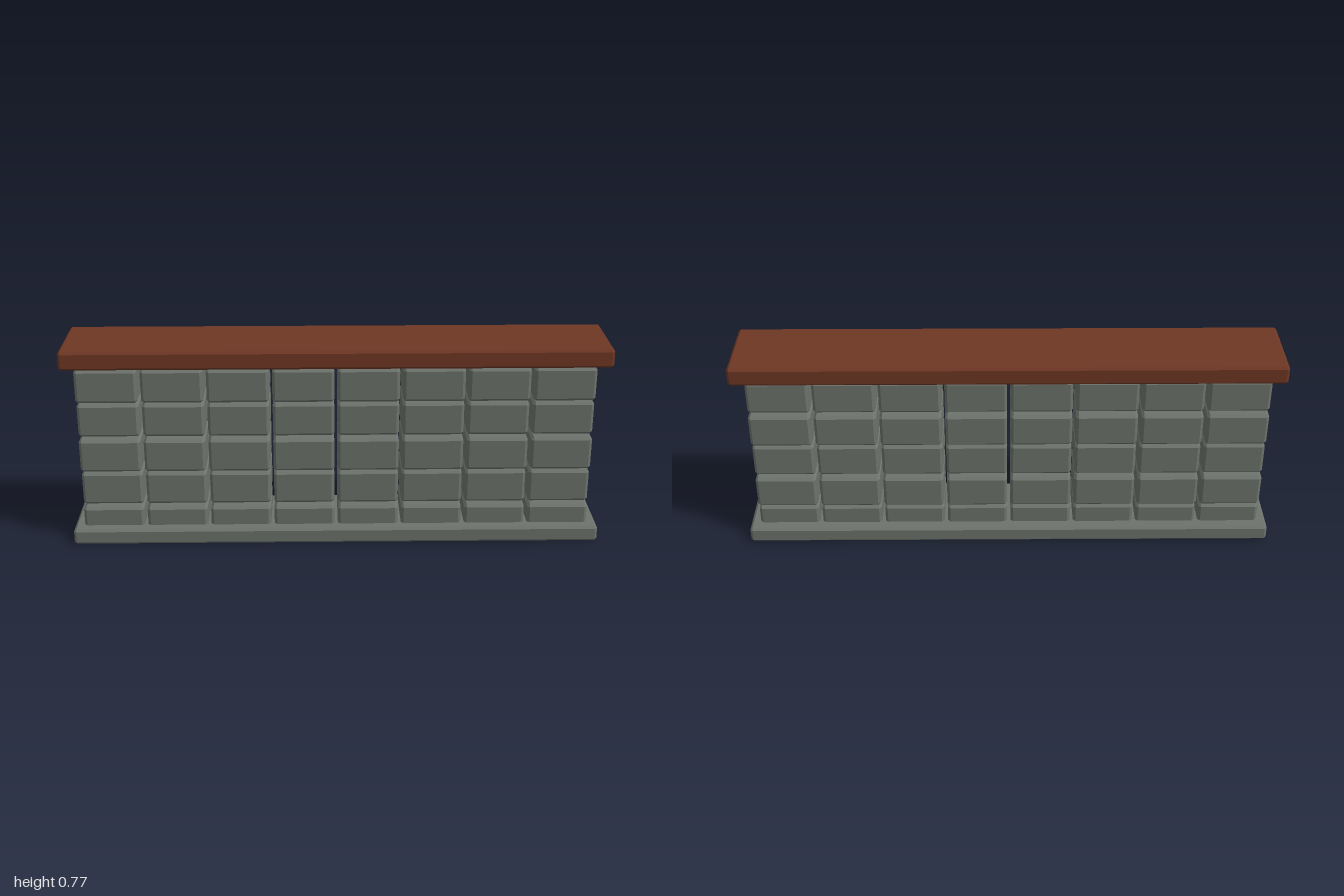
import * as THREE from 'three';
import { ConvexGeometry } from 'three/addons/geometries/ConvexGeometry.js';

// Box with every edge and corner cut by a single flat chamfer
function chamferedBox(w, h, d, c) {
  const points = [];
  for (const x of [-1, 1]) for (const y of [-1, 1]) for (const z of [-1, 1]) {
    for (let axis = 0; axis < 3; axis++) {
      const inset = (size, i) => size / 2 - (i === axis ? 0 : c);
      points.push(new THREE.Vector3(x * inset(w, 0), y * inset(h, 1), z * inset(d, 2)));
    }
  }
  return new ConvexGeometry(points);
}

export function createModel() {
  const stone = new THREE.MeshStandardMaterial({ name: 'grey stone', color: 0x6d736c });
  const wood = new THREE.MeshStandardMaterial({ name: 'red brown wood', color: 0x6f3724 });

  const model = new THREE.Group();
  model.name = 'stoneCounter';

  const add = (parent, name, geometry, material, x, y, z) => {
    const mesh = new THREE.Mesh(geometry, material);
    mesh.name = name;
    mesh.position.set(x, y, z);
    parent.add(mesh);
  };

  // Plinth on the ground and slab floating just over the blocks
  add(model, 'plinth', chamferedBox(1.98, 0.061, 0.304, 0.009), stone, -0.002, 0.0305, 0);
  add(model, 'counterTop', chamferedBox(2, 0.07, 0.304, 0.009), wood, 0, 0.733, 0);

  // Five courses of eight blocks, alternate courses stepped in depth
  const block = chamferedBox(0.227, 0.128, 0.218, 0.01);
  for (let row = 0; row < 5; row++) {
    const course = new THREE.Group();
    course.name = `course${row + 1}`;
    course.position.set(-0.002, 0.07 + row * 0.1373, row % 2 ? -0.01 : 0.001);
    for (let col = 0; col < 8; col++) {
      add(course, `block${col + 1}`, block, stone, (col - 3.5) * 0.24, 0, 0);
    }
    model.add(course);
  }
  return model;
}
